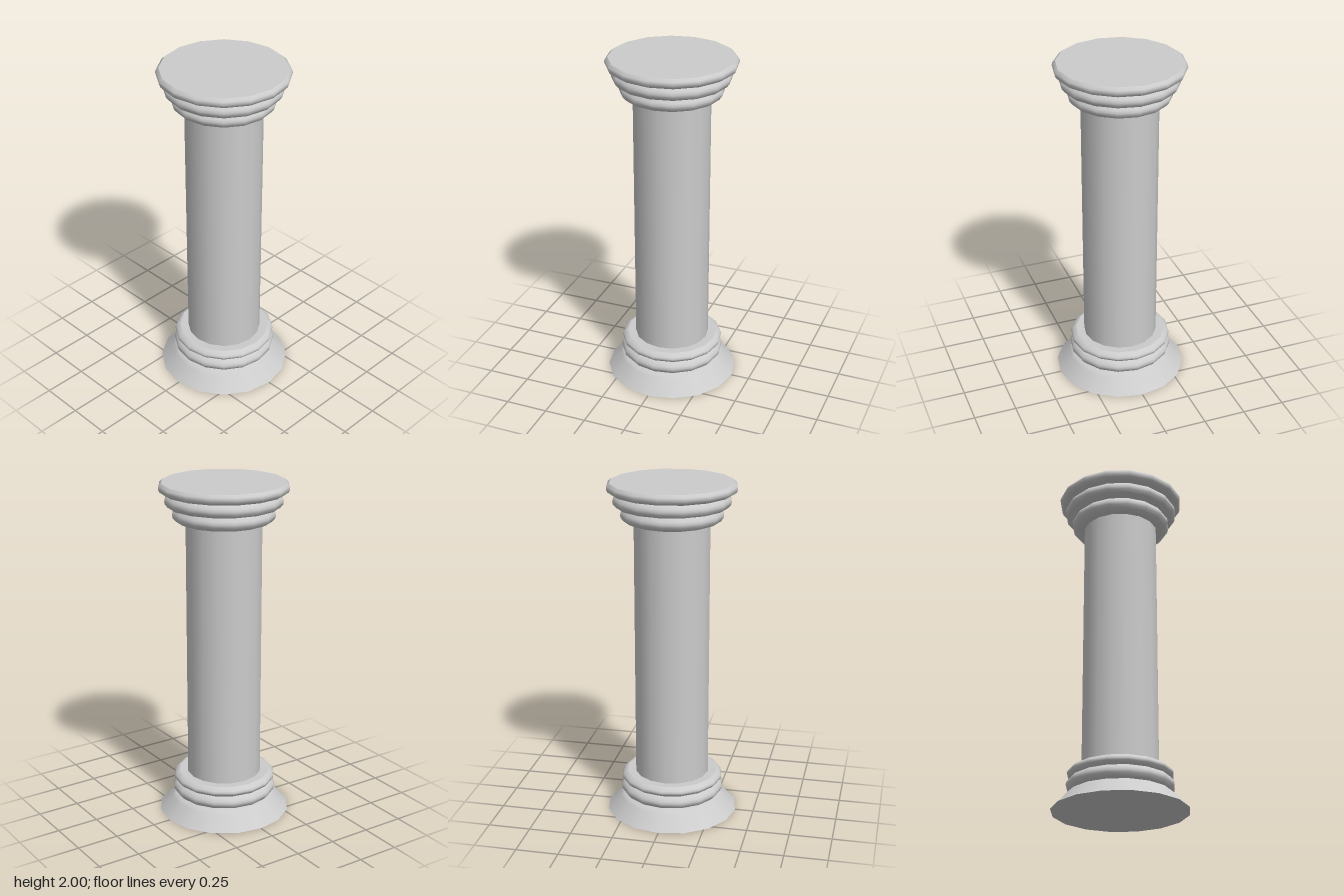
import * as THREE from 'three';

const SIDES = 16;
const material = new THREE.MeshStandardMaterial({ color: 0xcccccc, side: THREE.DoubleSide });

// Revolve a bottom-to-top outline of [radius, height] pairs; each band keeps its own smooth normals
function turned(name, outline) {
  const points = outline.map(([r, y]) => new THREE.Vector2(r, y));
  const mesh = new THREE.Mesh(new THREE.LatheGeometry(points, SIDES), material);
  mesh.name = name;
  return mesh;
}

// Rounded ring moulding between two heights, bulging from inner to outer radius
function moulding(name, bottom, top, lowR, outer, highR) {
  const h = top - bottom;
  return turned(name, [
    [lowR, bottom],
    [outer - 0.018, bottom + h * 0.12],
    [outer - 0.003, bottom + h * 0.34],
    [outer, bottom + h * 0.52],
    [outer - 0.004, bottom + h * 0.7],
    [outer - 0.018, bottom + h * 0.9],
    [highR, top],
  ]);
}

export function createModel() {
  const column = new THREE.Group();
  column.name = 'column';

  // Base: flared foot with two ring mouldings
  const base = new THREE.Group();
  base.name = 'base';
  base.add(
    turned('baseUnderside', [[0, 0], [0.39, 0]]),
    turned('baseFlare', [[0.39, 0], [0.345, 0.045], [0.312, 0.083], [0.295, 0.097], [0.265, 0.105]]),
    moulding('lowerBaseRing', 0.102, 0.185, 0.265, 0.307, 0.27),
    moulding('upperBaseRing', 0.18, 0.242, 0.27, 0.302, 0.27),
    turned('baseLedge', [[0.27, 0.242], [0.2, 0.24]]),
  );

  // Plain round shaft
  const shaft = turned('shaft', [[0.22, 0.22], [0.22, 1.8]]);

  // Capital: two ring mouldings widening up to the top slab
  const capital = new THREE.Group();
  capital.name = 'capital';
  capital.add(
    turned('capitalUnderside', [[0.2, 1.78], [0.255, 1.775]]),
    moulding('lowerCapitalRing', 1.775, 1.86, 0.255, 0.296, 0.27),
    moulding('upperCapitalRing', 1.855, 1.94, 0.27, 0.339, 0.3),
    turned('topSlab', [[0.3, 1.935], [0.348, 1.941], [0.366, 1.952], [0.373, 1.97], [0.371, 1.985], [0.355, 2]]),
    turned('topFace', [[0.355, 2], [0, 2]]),
  );

  column.add(base, shaft, capital);
  return column;
}
